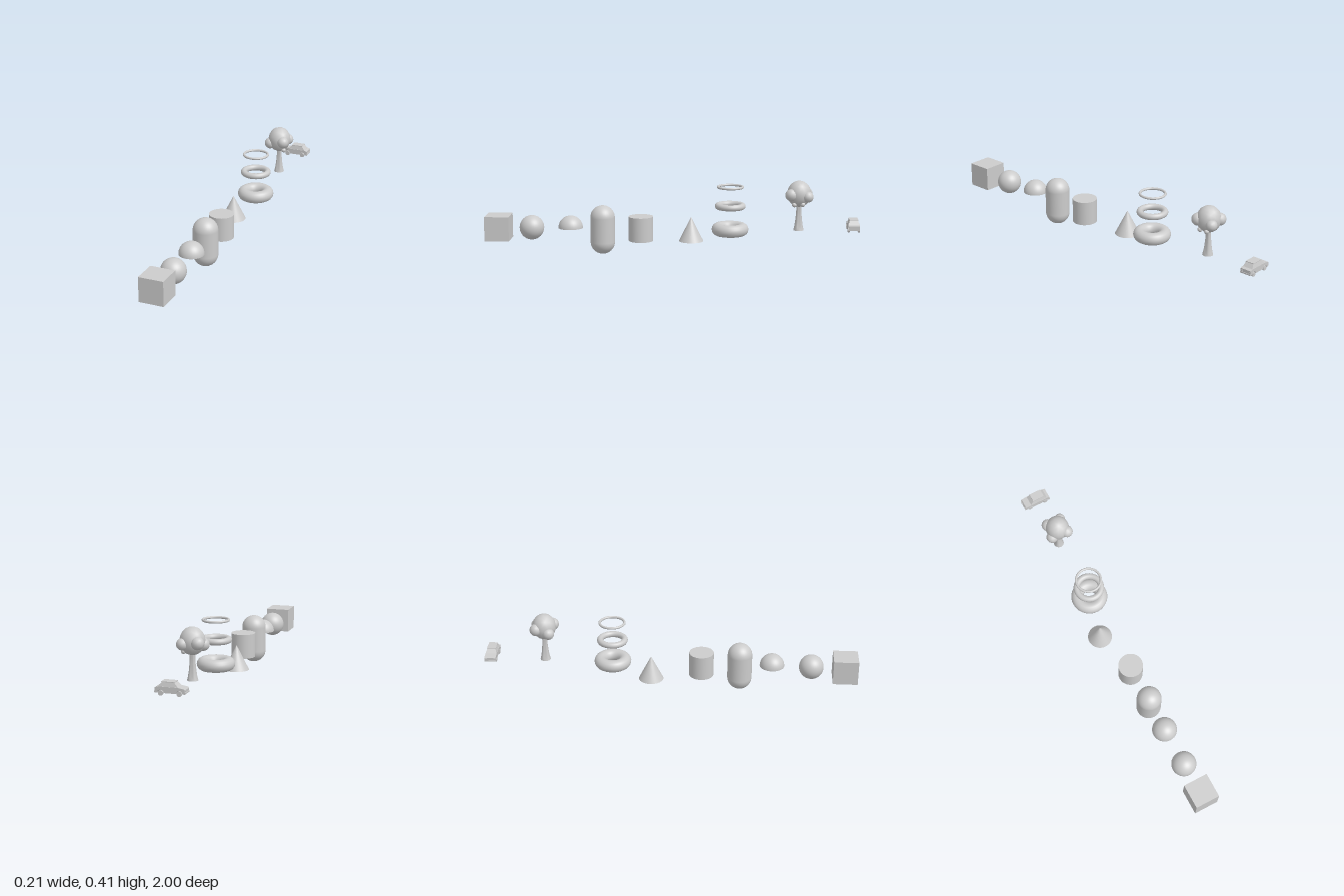
import * as THREE from 'three';
import { toCreasedNormals } from 'three/addons/utils/BufferGeometryUtils.js';

const R = 0.066; // shared radius of the primitives
const CX = 0.005; // line the row of objects stands on
const material = new THREE.MeshStandardMaterial({ color: 0xcccccc });

function add(parent, name, geometry, x, y, z) {
  const mesh = new THREE.Mesh(geometry, material);
  mesh.name = name;
  mesh.position.set(x, y, z);
  parent.add(mesh);
  return mesh;
}

// Box whose top face is drawn in to form sloping sides
function taperedBox(x0, x1, top0, top1, y0, y1, halfBase, halfTop) {
  const g = new THREE.BoxGeometry(2, 2, 2);
  const p = g.attributes.position;
  for (let i = 0; i < p.count; i++) {
    const up = p.getY(i) > 0;
    const right = p.getX(i) > 0;
    const x = up ? (right ? top1 : top0) : (right ? x1 : x0);
    p.setXYZ(i, x, up ? y1 : y0, p.getZ(i) * (up ? halfTop : halfBase));
  }
  g.computeVertexNormals();
  return g;
}

function buildTree() {
  const tree = new THREE.Group();
  tree.name = 'tree';

  // Flared trunk
  const profile = [[0, 0], [0.028, 0], [0.023, 0.02], [0.0185, 0.05], [0.015, 0.085], [0.0135, 0.115], [0.016, 0.15]];
  const trunk = new THREE.LatheGeometry(profile.map(([r, y]) => new THREE.Vector2(r, y)), 16);
  add(tree, 'trunk', toCreasedNormals(trunk, 0.9), 0, 0, 0);

  // Crown with four large leaf clumps and two small ones underneath
  add(tree, 'crown', new THREE.IcosahedronGeometry(1, 2), 0, 0.197, 0).scale.set(0.064, 0.071, 0.064);
  const clumps = [
    [-0.046, 0.176, 0.028, 0.032],
    [0.036, 0.195, 0.042, 0.033],
    [-0.039, 0.194, -0.039, 0.033],
    [0.037, 0.186, -0.045, 0.030],
    [0.036, 0.143, 0.026, 0.013],
    [0.040, 0.146, -0.018, 0.013],
  ];
  for (const [x, y, z, r] of clumps) add(tree, 'leafClump', new THREE.IcosahedronGeometry(r, 2), x, y, z);
  return tree;
}

function buildCar() {
  const car = new THREE.Group();
  car.name = 'car';
  const axles = [-0.046, 0.046];
  const halfWidth = 0.03;

  // Body side profile with wheel arches, bonnet towards -x
  const s = new THREE.Shape();
  s.moveTo(-0.074, 0.013);
  for (const x of axles) {
    s.lineTo(x - 0.016, 0.013);
    s.absarc(x, 0.013, 0.016, Math.PI, 0, true);
  }
  s.lineTo(0.074, 0.013);
  s.lineTo(0.074, 0.038);
  s.lineTo(0.062, 0.043);
  s.lineTo(-0.038, 0.043);
  s.lineTo(-0.07, 0.038);
  s.lineTo(-0.074, 0.033);
  const body = new THREE.ExtrudeGeometry(s, { depth: 2 * halfWidth, bevelEnabled: false, curveSegments: 8 });
  add(car, 'body', body, 0, 0, -halfWidth);

  // Cabin and roof panel
  add(car, 'cabin', taperedBox(-0.04, 0.06, -0.02, 0.042, 0.042, 0.064, 0.028, 0.022), 0, 0, 0);
  add(car, 'roof', new THREE.BoxGeometry(0.066, 0.003, 0.047), 0.011, 0.0655, 0);

  for (const side of [-1, 1]) {
    // Wheels with hubs
    for (const x of axles) {
      const wheel = add(car, 'wheel', new THREE.CylinderGeometry(0.013, 0.013, 0.009, 16), x, 0.013, side * 0.0265);
      wheel.rotation.x = Math.PI / 2;
      const hub = add(car, 'hub', new THREE.CylinderGeometry(0.007, 0.007, 0.011, 12), x, 0.013, side * 0.0265);
      hub.rotation.x = Math.PI / 2;
    }
    // Bumpers and lights
    add(car, 'bumper', new THREE.BoxGeometry(0.005, 0.007, 0.06), side * 0.0745, 0.018, 0);
    for (const end of [-1, 1]) {
      add(car, 'light', new THREE.BoxGeometry(0.003, 0.006, 0.01), end * 0.0742, 0.029, side * 0.022);
    }
  }
  return car;
}

export function createModel() {
  const model = new THREE.Group();
  model.name = 'shapeRow';

  // Plain solids, front to back
  add(model, 'cube', new THREE.BoxGeometry(2 * R, 2 * R, 2 * R), CX, 0.14, 0.934);
  add(model, 'sphere', new THREE.SphereGeometry(R, 32, 20), CX, 0.14, 0.753);
  const dome = new THREE.Group();
  dome.name = 'hemisphere';
  dome.position.set(CX, 0.14, 0.543);
  add(dome, 'dome', new THREE.SphereGeometry(R, 32, 12, 0, Math.PI * 2, 0, Math.PI / 2), 0, 0, 0);
  add(dome, 'domeBase', new THREE.CircleGeometry(R, 32), 0, 0, 0).rotation.x = Math.PI / 2;
  model.add(dome);
  add(model, 'capsule', new THREE.CapsuleGeometry(R, 2 * R, 10, 32), CX, 2 * R, 0.37);
  add(model, 'cylinder', new THREE.CylinderGeometry(R, R, 2 * R, 32), CX, 0.14, 0.164);
  add(model, 'cone', new THREE.ConeGeometry(R, 2 * R, 32), -0.04, 0.131, -0.104);

  // Stack of rings, thinner towards the top
  for (const [tube, y] of [[R / 2, 0.141], [R / 4, 0.267], [R / 10, 0.37]]) {
    add(model, 'ring', new THREE.TorusGeometry(R, tube, 16, 48), CX, y, -0.314).rotation.x = Math.PI / 2;
  }

  const tree = buildTree();
  tree.position.set(CX - 0.001, 0.14, -0.679);
  const car = buildCar();
  car.position.set(CX, 0.14, -0.968);
  model.add(tree, car);
  return model;
}
